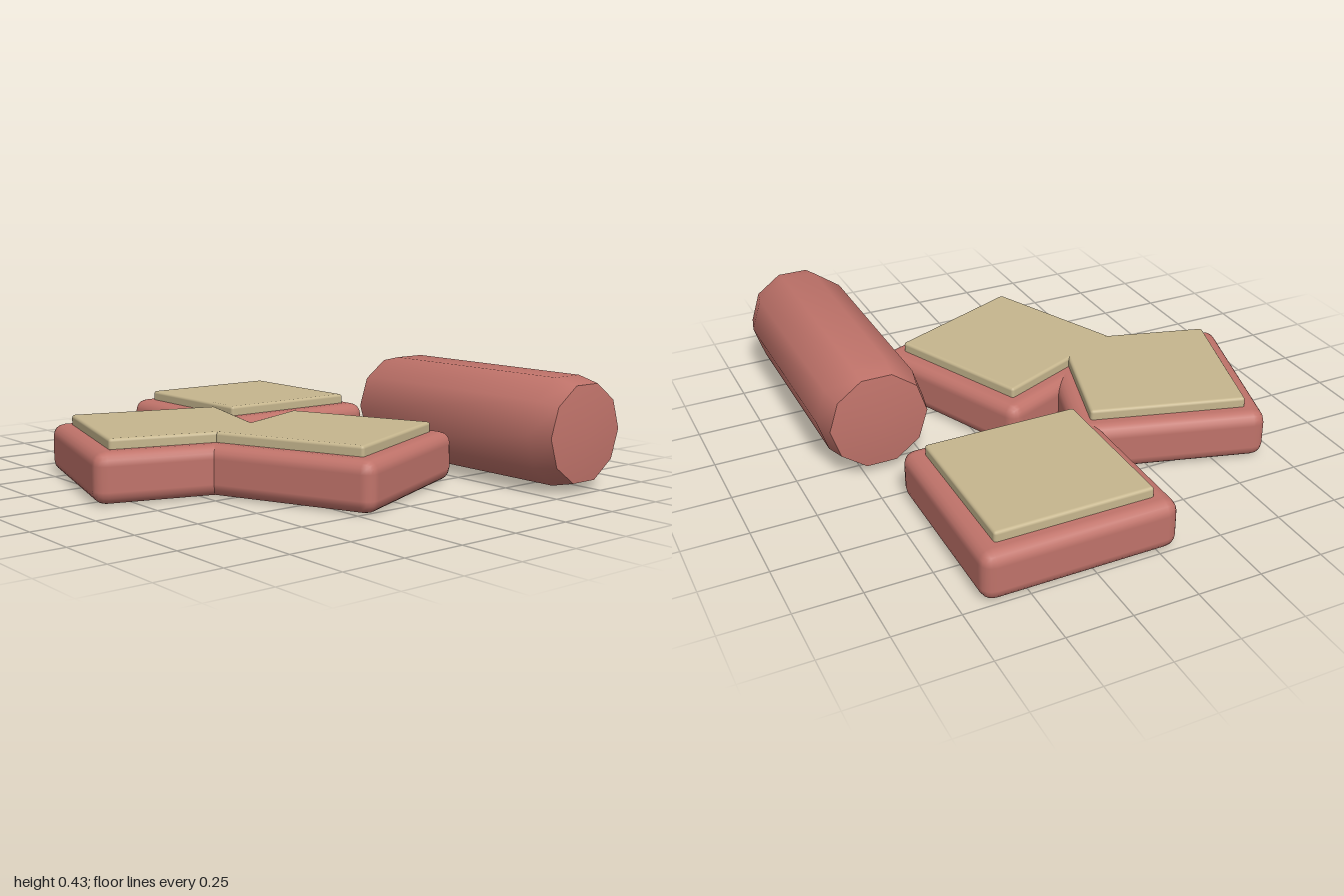
import * as THREE from 'three';
import { toCreasedNormals } from 'three/addons/utils/BufferGeometryUtils.js';
import { RoundedBoxGeometry } from 'three/addons/geometries/RoundedBoxGeometry.js';

function makeMaterial(name, color) {
  const material = new THREE.MeshStandardMaterial({ color });
  material.name = name;
  return material;
}

export function createModel() {
  const model = new THREE.Group();
  model.name = 'floorCushions';
  const red = makeMaterial('dustyRed', 0xc0736a);
  const beige = makeMaterial('beige', 0xc6b68e);

  const bodyGeometry = new RoundedBoxGeometry(0.75, 0.194, 0.75, 2, 0.05);
  const panelGeometry = new RoundedBoxGeometry(0.61, 0.08, 0.61, 2, 0.012);

  // Square cushions with a raised top panel: name, x, z, turn
  const cushions = [
    ['leftCushion', -0.625, -0.295, 0],
    ['frontCushion', -0.173, 0.435, -0.288],
    ['rightCushion', 0.305, 0.025, 0.403],
  ];
  for (const [name, x, z, turn] of cushions) {
    const cushion = new THREE.Group();
    cushion.name = name;
    const body = new THREE.Mesh(bodyGeometry, red);
    body.name = 'cushionBody';
    body.position.y = 0.097;
    const panel = new THREE.Mesh(panelGeometry, beige);
    panel.name = 'topPanel';
    panel.position.y = 0.193;
    cushion.add(body, panel);
    cushion.position.set(x, 0, z);
    cushion.rotation.y = turn;
    model.add(cushion);
  }

  // Ten-sided bolster with bevelled, slightly domed ends, lying along x
  const profile = [
    [0, -0.548], [0.194, -0.525], [0.217, -0.43],
    [0.217, 0.43], [0.194, 0.525], [0, 0.548],
  ].map(([r, y]) => new THREE.Vector2(r, y));
  const bolsterGeometry = toCreasedNormals(new THREE.LatheGeometry(profile, 10), Math.PI / 4);
  const bolster = new THREE.Mesh(bolsterGeometry, red);
  bolster.name = 'bolster';
  bolster.rotation.z = -Math.PI / 2;
  bolster.position.set(0.45, 0.222, -0.682);
  model.add(bolster);

  return model;
}
